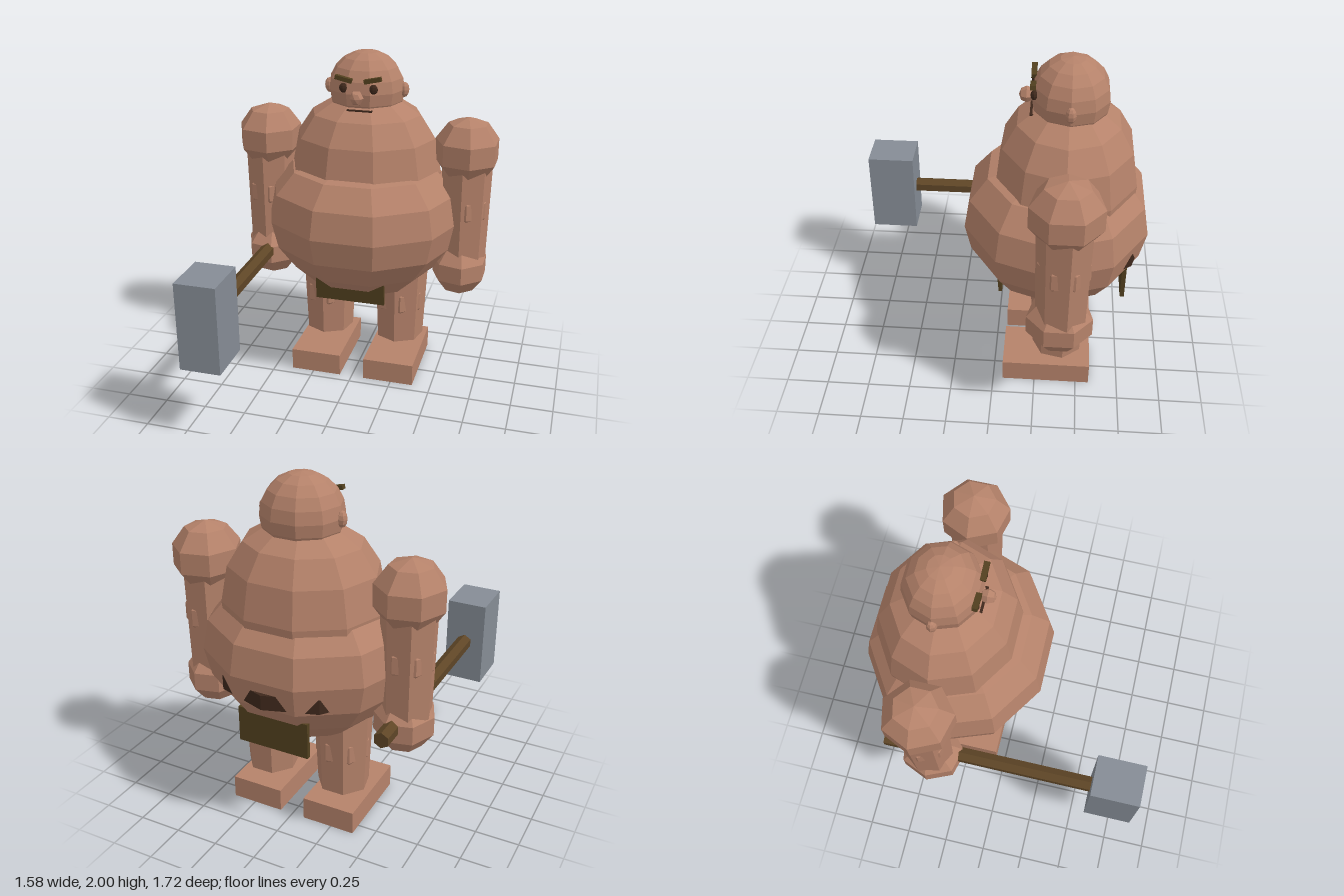
import * as THREE from 'three';

const material = (name, color) => {
  const m = new THREE.MeshStandardMaterial({ color, flatShading: true });
  m.name = name;
  return m;
};

export function createModel() {
  const skin = material('skin', 0xb5826a);
  const cloth = material('cloth', 0x52401f);
  const wood = material('wood', 0x5e4526);
  const steel = material('steel', 0x858c95);
  const dark = material('dark', 0x3e281c);

  const model = new THREE.Group();
  model.name = 'hammerBrute';

  const add = (name, geometry, mat, x, y, z, parent = model) => {
    const mesh = new THREE.Mesh(geometry, mat);
    mesh.name = name;
    mesh.position.set(x, y, z);
    parent.add(mesh);
    return mesh;
  };
  const ball = (rx, ry, rz, w = 7, h = 5) => new THREE.SphereGeometry(1, w, h).scale(rx, ry, rz);
  const box = (w, h, d) => new THREE.BoxGeometry(w, h, d);
  // Ten-sided body section, flat towards the front
  const round = (points, depth) => new THREE.LatheGeometry(
    points.map(([r, y]) => new THREE.Vector2(r, y)), 10, Math.PI / 2).scale(1, 1, depth);

  // Body
  add('belly', round([[0, 0.5], [0.17, 0.52], [0.32, 0.58], [0.45, 0.7], [0.56, 0.845],
    [0.6, 1.01], [0.565, 1.18], [0.45, 1.31], [0, 1.42]], 0.9), skin, 0, 0, -0.34);
  add('chest', round([[0.44, 1.1], [0.46, 1.3], [0.42, 1.5], [0.33, 1.635],
    [0.2, 1.715], [0, 1.76]], 0.88), skin, 0, 0, -0.385);

  // Belt, breaking through the folds at the back
  add('belt', new THREE.CylinderGeometry(0.495, 0.495, 0.085, 10), dark, 0, 0.905, -0.37);

  // Loincloth
  const flap = add('frontFlap', box(0.42, 0.155, 0.02), cloth, 0, 0.632, -0.025);
  flap.rotation.x = 0.08;
  add('backFlap', box(0.42, 0.21, 0.025), cloth, 0, 0.665, -0.745);

  // Head
  const head = new THREE.Group();
  head.name = 'head';
  model.add(head);
  add('skull', ball(0.228, 0.22, 0.215, 10, 10), skin, 0, 1.78, -0.39, head);
  const nose = add('nose', ball(0.042, 0.042, 0.045, 6, 4), skin, 0, 1.77, -0.155, head);
  nose.rotation.x = Math.PI / 2;
  add('mouth', box(0.15, 0.008, 0.02), dark, 0.01, 1.69, -0.185, head);

  for (const [side, s] of [['left', 1], ['right', -1]]) {
    // Face
    add(side + 'Ear', ball(0.03, 0.045, 0.03, 7, 6), skin, s * 0.225, 1.78, -0.39, head);
    add(side + 'Eye', ball(0.026, 0.028, 0.02, 8, 6), dark, s * 0.088, 1.815, -0.197, head);
    const brow = add(side + 'Brow', box(0.1, 0.024, 0.03), cloth, s * 0.085, 1.868, -0.19, head);
    brow.rotation.z = s * 0.22;

    // Arm
    const arm = new THREE.Group();
    arm.name = side + 'Arm';
    model.add(arm);
    add('shoulder', ball(0.2, 0.2, 0.208), skin, s * 0.61, 1.445, -0.39, arm);
    add('armShaft', new THREE.CylinderGeometry(0.155, 0.142, 0.6, 7), skin, s * 0.61, 1.07, -0.39, arm);
    add('elbow', ball(0.153, 0.153, 0.153), skin, s * 0.61, 1.1, -0.39, arm);
    add('hand', ball(0.175, 0.172, 0.195), skin, s * 0.6, 0.71, -0.38, arm);

    // Leg
    const leg = new THREE.Group();
    leg.name = side + 'Leg';
    model.add(leg);
    add('legShaft', new THREE.CylinderGeometry(0.175, 0.15, 0.58, 7), skin, s * 0.232, 0.485, -0.38, leg);
    add('knee', ball(0.165, 0.165, 0.165), skin, s * 0.232, 0.46, -0.38, leg);
    add('foot', box(0.312, 0.135, 0.52), skin, s * 0.232, 0.0725, -0.318, leg);
  }

  // Hammer in the right hand
  const hammer = new THREE.Group();
  hammer.name = 'hammer';
  model.add(hammer);
  const handle = add('handle', new THREE.CylinderGeometry(0.046, 0.046, 1.27, 6), wood, -0.59, 0.738, -0.035, hammer);
  handle.rotation.x = Math.PI / 2;
  add('hammerHead', box(0.235, 0.515, 0.28), steel, -0.592, 0.736, 0.713, hammer);

  return model;
}
